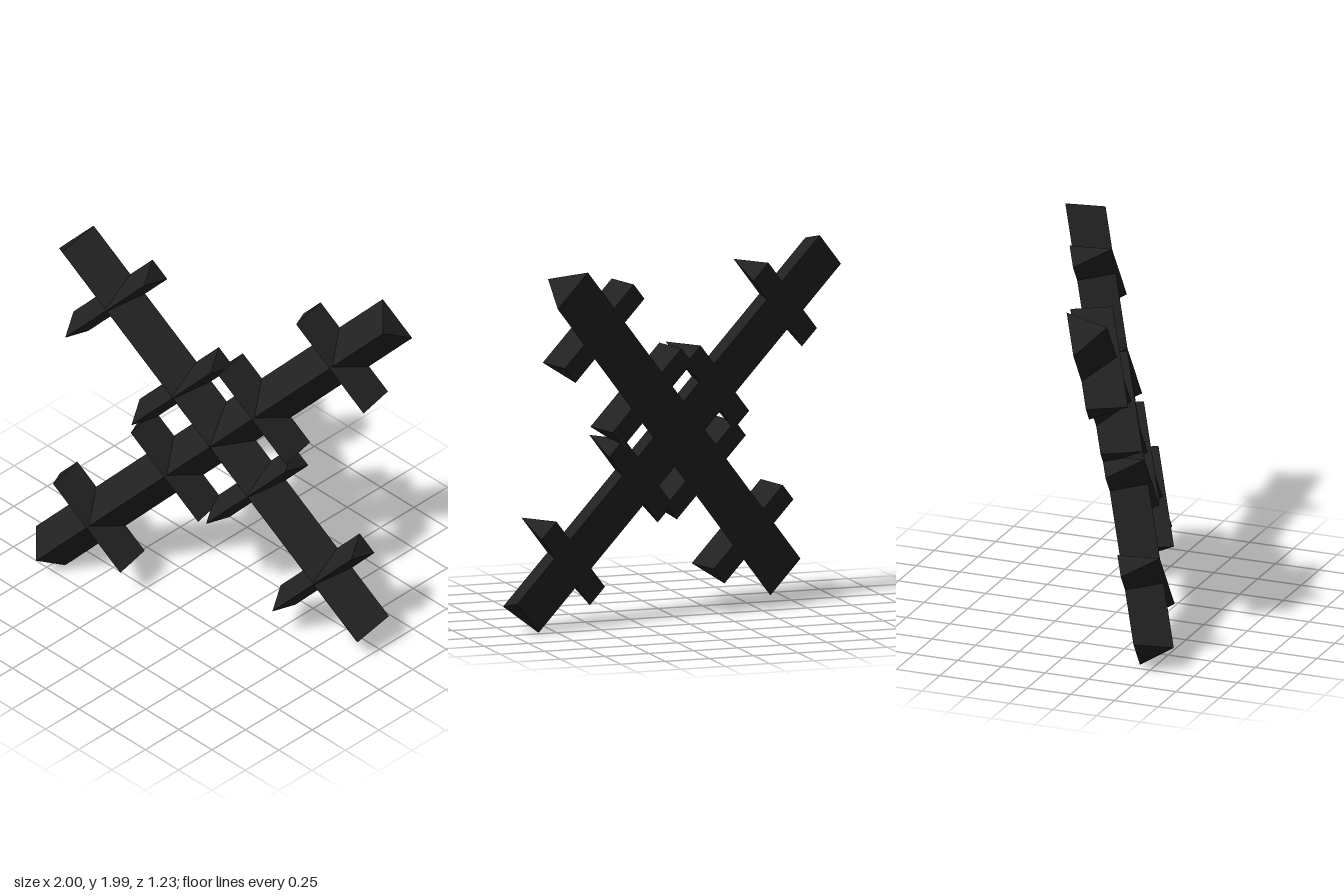
import * as THREE from 'three';

const dark = new THREE.MeshStandardMaterial({ color: 0x222222 });
dark.name = 'charcoal';

// Triangular prism along local x: flat back on z = 0, ridge facing +z
function prism(length, width, height) {
  const shape = new THREE.Shape([
    new THREE.Vector2(-width / 2, 0),
    new THREE.Vector2(width / 2, 0),
    new THREE.Vector2(0, height),
  ]);
  const g = new THREE.ExtrudeGeometry(shape, { depth: length, bevelEnabled: false });
  g.translate(0, 0, -length / 2);
  const turn = new THREE.Matrix4().makeBasis(
    new THREE.Vector3(0, 1, 0), new THREE.Vector3(0, 0, 1), new THREE.Vector3(1, 0, 0));
  return g.applyMatrix4(turn);
}

// One long bar along local x with four short crossing arms
function makeBranch(name) {
  const branch = new THREE.Group();
  branch.name = name;
  const bar = new THREE.Mesh(prism(2.61, 0.26, 0.2), dark);
  bar.name = 'mainBar';
  branch.add(bar);

  const armGeometry = prism(0.595, 0.13, 0.22);
  for (const [label, s] of [['outer', 0.915], ['inner', 0.33]]) {
    for (const side of [-1, 1]) {
      const arm = new THREE.Mesh(armGeometry, dark);
      arm.name = label + 'CrossArm';
      arm.rotation.z = Math.PI / 2;
      arm.position.x = side * s;
      branch.add(arm);
    }
  }
  return branch;
}

export function createModel() {
  const model = new THREE.Group();
  model.name = 'snowflakeCross';

  // Two identical branches at right angles
  const falling = makeBranch('fallingBranch');
  const rising = makeBranch('risingBranch');
  rising.rotation.z = Math.PI / 2;
  const cross = new THREE.Group();
  cross.name = 'tiltedCross';
  cross.add(falling, rising);

  // Lean the whole cross: x and y follow the branches, z the ridge side
  const a = new THREE.Vector3(0.705, -0.694, -0.146).normalize();
  const n = a.clone().cross(new THREE.Vector3(0.601, 0.693, -0.396)).normalize();
  const b = n.clone().cross(a);
  cross.quaternion.setFromRotationMatrix(new THREE.Matrix4().makeBasis(a, b, n));
  cross.position.set(0, 1, -0.08);
  model.add(cross);
  return model;
}
